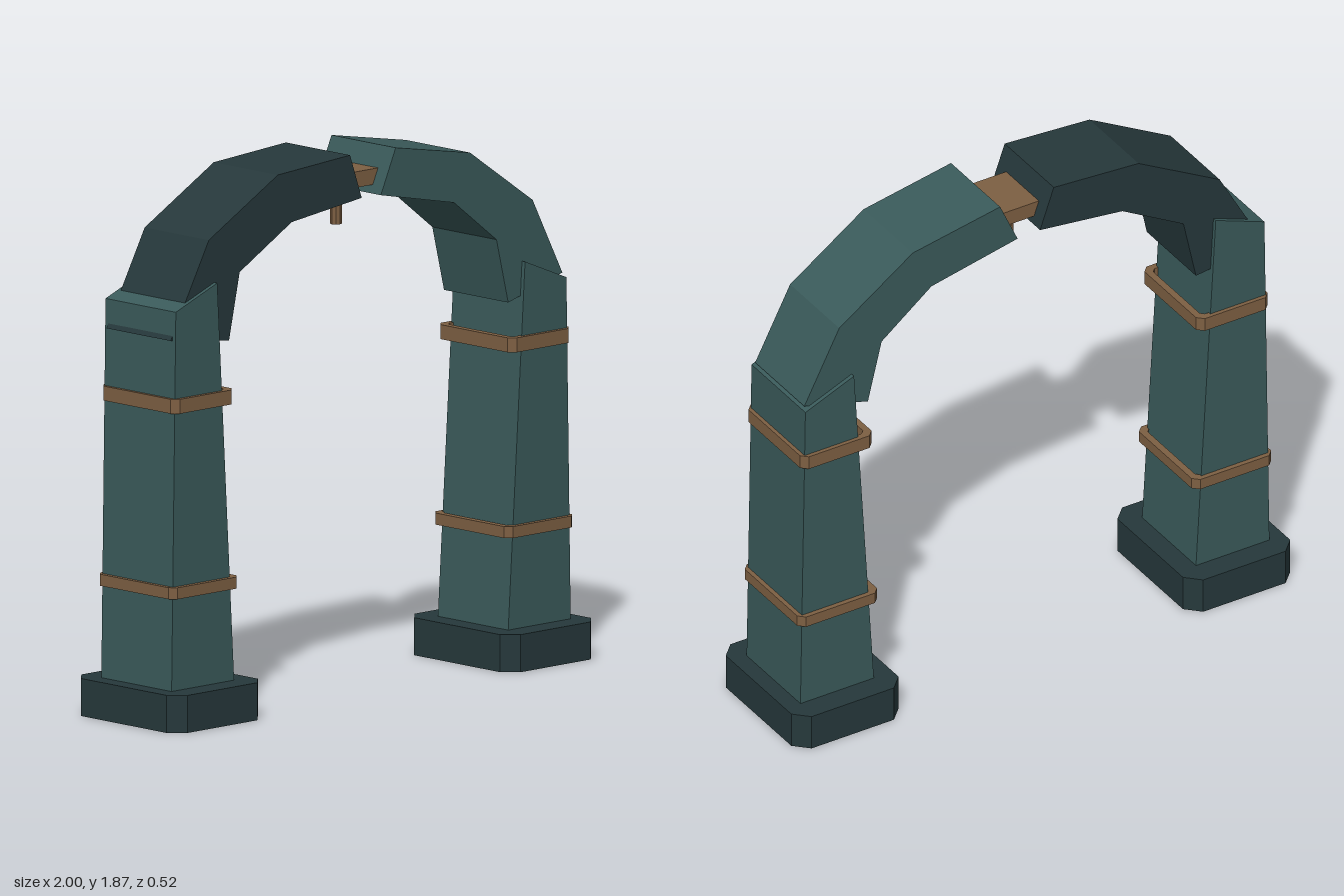
import * as THREE from 'three';

const mat = (color) => new THREE.MeshStandardMaterial({ color, flatShading: true });
const teal = mat(0x3a5a5a), dark = mat(0x26383b), bronze = mat(0x7d5f42);

// Outline in x, y (either winding), extruded evenly about z = 0
function slab(name, points, depth, material) {
  const shape = new THREE.Shape(points.map(([x, y]) => new THREE.Vector2(x, y)));
  const geo = new THREE.ExtrudeGeometry(shape, { depth, bevelEnabled: false });
  geo.translate(0, 0, -depth / 2);
  const mesh = new THREE.Mesh(geo, material);
  mesh.name = name;
  return mesh;
}

// Rectangle with cut corners
function chamferedPoints(w, d, c) {
  const x = w / 2, z = d / 2;
  return [[x - c, -z], [x, -z + c], [x, z - c], [x - c, z],
    [-x + c, z], [-x, z - c], [-x, -z + c], [-x + c, -z]]
    .map(([a, b]) => new THREE.Vector2(a, b));
}

// Horizontal chamfered plate, hollow when a wall thickness is given
function plate(name, x0, x1, y0, y1, depth, chamfer, material, wall = 0) {
  const shape = new THREE.Shape(chamferedPoints(x1 - x0, depth, chamfer));
  if (wall) {
    const inner = chamferedPoints(x1 - x0 - 2 * wall, depth - 2 * wall, chamfer * 0.6);
    shape.holes.push(new THREE.Path(inner));
  }
  const geo = new THREE.ExtrudeGeometry(shape, { depth: y1 - y0, bevelEnabled: false });
  geo.rotateX(-Math.PI / 2);
  geo.translate((x0 + x1) / 2, y0, 0);
  const mesh = new THREE.Mesh(geo, material);
  mesh.name = name;
  return mesh;
}

// Pillar with base and two bands; side is +1 (left) or -1 (right)
function createColumn(side, outerTop, innerTop) {
  const column = new THREE.Group();
  column.name = side > 0 ? 'leftColumn' : 'rightColumn';
  const span = (a, b) => (side > 0 ? [a, b] : [-b, -a]);
  column.add(
    plate('base', ...span(0.57, 1), 0, 0.13, 0.52, 0.05, dark),
    slab('pillar', [[0.645, 0.12], [0.94, 0.12], [0.92, outerTop], [0.725, innerTop]]
      .map(([x, y]) => [x * side, y]), 0.345, teal),
    plate('lowerBand', ...span(0.63, 0.95), 0.45, 0.49, 0.38, 0.022, bronze, 0.025),
    plate('upperBand', ...span(0.65, 0.937), 1.09, 1.14, 0.374, 0.022, bronze, 0.025),
  );
  return column;
}

export function createModel() {
  const model = new THREE.Group();
  model.name = 'brokenArch';
  model.add(createColumn(-1, 1.44, 1.515), createColumn(1, 1.315, 1.395));

  // Two faceted arch halves, each tilted a little differently
  model.add(slab('rightArchHalf', [
    [-0.085, 1.87], [-0.425, 1.847], [-0.75, 1.665], [-0.93, 1.34],
    [-0.655, 1.305], [-0.605, 1.535], [-0.36, 1.675], [-0.03, 1.715],
  ], 0.315, dark));
  model.add(slab('leftArchHalf', [
    [0.13, 1.867], [0.48, 1.803], [0.775, 1.6], [0.915, 1.33],
    [0.66, 1.26], [0.605, 1.485], [0.405, 1.64], [0.06, 1.712],
  ], 0.315, teal));

  // Metal link between the halves, with a hanging pin
  const link = new THREE.Mesh(new THREE.BoxGeometry(0.24, 0.055, 0.21), bronze);
  link.name = 'link';
  link.position.set(0.02, 1.767, 0);
  const pin = new THREE.Mesh(new THREE.CylinderGeometry(0.02, 0.02, 0.15, 8), bronze);
  pin.name = 'pin';
  pin.position.set(0, 1.675, 0);
  model.add(link, pin);
  return model;
}
